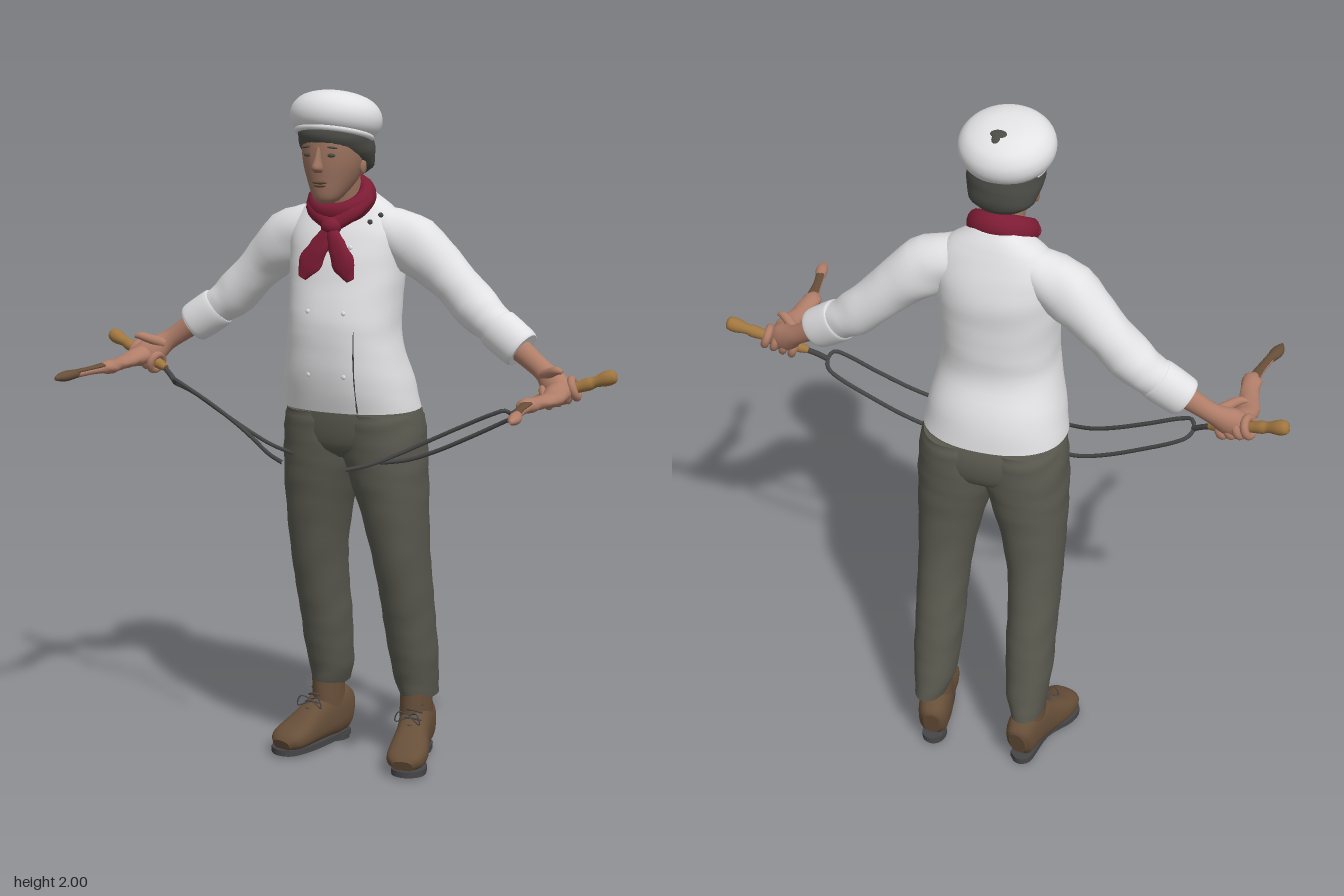
import * as THREE from 'three';

const mat = (name, color) => {
  const m = new THREE.MeshStandardMaterial({ color });
  m.name = name;
  return m;
};
const V = (x, y, z) => new THREE.Vector3(x, y, z);

// Smooth skin through rows of [x, y, z, halfWidth, halfDepth].
// flat: horizontal rings; otherwise rings square to the path, depth along ref.
function loft(rows, { flat = false, ref = V(0, 0, 1), seg = 28, steps = 4, p = 2, fold = 0 } = {}) {
  const path = new THREE.CatmullRomCurve3(rows.map(r => V(r[0], r[1], r[2])), false, 'catmullrom', 0.5);
  const size = new THREE.CatmullRomCurve3(rows.map(r => V(r[3], r[4] ?? r[3], 0)), false, 'catmullrom', 0.5);
  const n = (rows.length - 1) * steps, pos = [], idx = [];
  const rise = Math.sign(rows[rows.length - 1][1] - rows[0][1]);
  for (let i = 0; i <= n; i++) {
    const t = i / n, c = path.getPoint(t), s = size.getPoint(t);
    const T = flat ? V(0, rise, 0) : path.getTangent(t);
    const U = flat ? V(1, 0, 0) : ref.clone().cross(T).normalize();
    const W = T.clone().cross(U);
    for (let j = 0; j < seg; j++) {
      const a = j / seg * Math.PI * 2, co = Math.cos(a), si = Math.sin(a);
      const k = 1 + fold * Math.sin(i * 1.7 + 2 * Math.sin(a * 2 + i * 0.3));
      const u = Math.sign(co) * Math.abs(co) ** (2 / p) * s.x * k;
      const w = Math.sign(si) * Math.abs(si) ** (2 / p) * s.y * k;
      pos.push(...c.clone().addScaledVector(U, u).addScaledVector(W, w).toArray());
    }
  }
  for (let i = 0; i < n; i++) for (let j = 0; j < seg; j++) {
    const a = i * seg + j, b = i * seg + (j + 1) % seg;
    idx.push(a, b, b + seg, a, b + seg, a + seg);
  }
  // end caps with their own vertices
  for (const [row, end] of [[0, false], [n, true]]) {
    const base = pos.length / 3;
    pos.push(...path.getPoint(end ? 1 : 0).toArray());
    for (let j = 0; j < seg; j++) pos.push(...pos.slice((row * seg + j) * 3, (row * seg + j) * 3 + 3));
    for (let j = 0; j < seg; j++) {
      const a = base + 1 + j, b = base + 1 + (j + 1) % seg;
      end ? idx.push(base, a, b) : idx.push(base, b, a);
    }
  }
  const g = new THREE.BufferGeometry();
  g.setAttribute('position', new THREE.Float32BufferAttribute(pos, 3));
  g.setIndex(idx);
  g.computeVertexNormals();
  return g;
}

export function createModel() {
  const root = new THREE.Group();
  root.name = 'cook';
  const shirt = mat('white cotton', 0xe2e2e4), cloth = mat('grey trousers', 0x5a5a50), red = mat('red scarf', 0x7d1c34);
  const leather = mat('brown leather', 0x674f39), sole = mat('dark sole', 0x464648), metal = mat('dark metal', 0x454545);
  const wood = mat('wood', 0xa0763f), skin = mat('face skin', 0x9c735f), hand = mat('hand skin', 0xb07e69), hair = mat('dark hair', 0x4b4b46);

  const add = (name, geo, m, parent = root) => {
    const mesh = new THREE.Mesh(geo, m);
    mesh.name = name;
    parent.add(mesh);
    return mesh;
  };
  const ball = (name, m, [x, y, z], [a, b, c], parent) => {
    const mesh = add(name, new THREE.SphereGeometry(1, 20, 14), m, parent);
    mesh.position.set(x, y, z);
    mesh.scale.set(a, b, c);
    return mesh;
  };
  const tube = (name, pts, r, m, parent) => add(name,
    new THREE.TubeGeometry(new THREE.CatmullRomCurve3(pts.map(q => V(...q))), pts.length * 6, r, 8), m, parent);

  // Jacket body
  const torso = [[0, 1.09, -.125, .205, .15], [0, 1.18, -.105, .19, .155], [0, 1.28, -.08, .168, .14], [0, 1.36, -.08, .163, .14],
    [0, 1.45, -.09, .168, .13], [0, 1.53, -.1, .172, .122], [0, 1.6, -.105, .175, .1], [0, 1.655, -.11, .145, .075],
    [0, 1.69, -.11, .1, .06], [0, 1.715, -.11, .06, .045]];
  add('jacket', loft(torso, { flat: true, p: 2.25, seg: 48, fold: .004 }), shirt);
  const chestZ = (x, y) => {
    const i = Math.max(0, torso.findIndex(r => r[1] > y) - 1), lo = torso[i], hi = torso[i + 1];
    const [zc, a, b] = [2, 3, 4].map(k => THREE.MathUtils.lerp(lo[k], hi[k], (y - lo[1]) / (hi[1] - lo[1])));
    return zc + b * (1 - Math.abs(x / a) ** 2.25) ** (1 / 2.25);
  };
  tube('frontSeam', [1.095, 1.15, 1.2, 1.26, 1.33].map(y => [.088, y, chestZ(.088, y) - .001]), .0025, metal);
  for (const x of [-.05, .06]) for (const y of [1.2, 1.38, 1.56])
    ball('button', shirt, [x, y, chestZ(x, y)], [.007, .007, .004]);
  for (const [x, y] of [[.1, 1.63], [.122, 1.648]]) ball('collarStud', metal, [x, y, chestZ(x, y)], [.008, .008, .006]);

  // Neck, scarf and its knot
  add('neck', loft([[0, 1.6, -.09, .06], [0, 1.68, -.065, .056], [0, 1.76, -.045, .058]], { flat: true }), skin);
  const band = add('scarfBand', new THREE.TorusGeometry(.07, .024, 14, 36).rotateX(Math.PI / 2).scale(1.06, 1.45, 1.02), red);
  band.position.set(0, 1.69, -.06);
  band.rotation.x = .58;
  ball('scarfKnot', red, [.01, 1.62, .025], [.03, .026, .028]);
  for (const s of [-1, 1]) {
    add('scarfFold', loft([[s * .085, 1.695, -.06, .02, .02], [s * .06, 1.66, -.01, .024, .02], [.01, 1.62, .02, .02, .018]]), red);
    add('scarfTail', loft([[.01, 1.62, .03, .014, .014], [.01 + s * .025, 1.57, .042, .027, .014],
      [.01 + s * .055, 1.515, .052, .034, .011], [.01 + s * .076, 1.475, .056, .012, .005]], { fold: .06 }), red);
  }

  // Head
  const head = new THREE.Group();
  head.name = 'head';
  root.add(head);
  add('face', loft([[0, 1.685, .035, .02, .022], [0, 1.702, .025, .04, .047], [0, 1.75, -.005, .067, .084], [0, 1.8, -.015, .084, .099],
    [0, 1.86, -.02, .09, .103], [0, 1.92, -.025, .082, .095], [0, 1.96, -.025, .05, .06]], { flat: true, p: 2.1 }), skin, head);
  add('nose', loft([[0, 1.845, .074, .008, .01], [0, 1.81, .083, .01, .015], [0, 1.785, .088, .016, .021], [0, 1.772, .082, .01, .01]], { flat: true }), skin, head);
  ball('upperLip', leather, [0, 1.745, .077], [.023, .005, .007], head);
  ball('lowerLip', leather, [0, 1.736, .075], [.019, .005, .007], head);
  for (const s of [-1, 1]) {
    ball('eye', hair, [s * .035, 1.82, .075], [.014, .006, .006], head);
    ball('brow', hair, [s * .037, 1.842, .075], [.02, .003, .006], head).rotation.z = -s * .12;
    ball('ear', skin, [s * .082, 1.785, -.028], [.009, .022, .015], head);
  }
  add('hair', loft([[0, 1.762, -.08, .06, .04], [0, 1.785, -.072, .09, .062], [0, 1.83, -.037, .104, .1], [0, 1.87, -.02, .103, .11],
    [0, 1.9, -.02, .095, .102], [0, 1.93, -.02, .08, .085]], { flat: true, fold: .01 }), hair, head);

  // Soft cap, tipped back
  const profile = new THREE.SplineCurve([[.095, .004], [.11, .003], [.125, .02], [.131, .045], [.124, .072], [.1, .097], [.055, .113], [0, .117]]
    .map(q => new THREE.Vector2(...q)));
  const cap = add('cap', new THREE.LatheGeometry(profile.getPoints(36), 40), shirt, head);
  cap.position.set(0, 1.873, -.012);
  cap.rotation.x = -.26;
  cap.scale.z = .96;
  add('capBand', new THREE.TorusGeometry(.104, .009, 10, 40).rotateX(Math.PI / 2), shirt, cap);
  const tuft = new THREE.Group();
  tuft.name = 'hairTuft';
  tuft.position.set(.006, .1125, -.038);
  tuft.rotation.x = -.15;
  cap.add(tuft);
  ball('tuftBack', hair, [0, 0, 0], [.024, .006, .016], tuft);
  ball('tuftFront', hair, [.003, .001, -.016], [.012, .006, .016], tuft);

  // Trouser seat
  add('trouserSeat', loft([[0, .945, -.148, .12, .09], [0, .98, -.147, .205, .126], [0, 1.05, -.143, .21, .135], [0, 1.12, -.13, .19, .12]],
    { flat: true, p: 2.2, seg: 40 }), cloth);

  for (const s of [1, -1]) {
    const side = new THREE.Group();
    side.name = s > 0 ? 'leftLimbs' : 'rightLimbs';
    root.add(side);
    const m = rows => rows.map(([x, ...r]) => [s * x, ...r]);

    // Leg
    add('trouserLeg', loft(m([[.15, .19, -.285, .047, .082], [.143, .25, -.272, .06, .085], [.143, .33, -.252, .067, .09], [.14, .42, -.232, .07, .095],
      [.14, .52, -.207, .072, .1], [.135, .65, -.177, .078, .107], [.123, .78, -.16, .093, .117], [.108, .88, -.152, .109, .127],
      [.096, .96, -.148, .12, .132], [.093, 1.04, -.144, .117, .133], [.09, 1.08, -.14, .11, .128]]), { flat: true, fold: .012, seg: 32, p: 2.15 }), cloth, side);

    // Boot
    add('bootFoot', loft(m([[.135, .085, -.35, .025, .045], [.137, .09, -.33, .043, .068], [.147, .1, -.27, .05, .08], [.167, .08, -.2, .05, .062],
      [.187, .06, -.13, .059, .042], [.197, .05, -.08, .054, .031], [.202, .04, -.055, .032, .018]]), { ref: V(0, 1, 0), p: 2.5 }), leather, side);
    add('bootShaft', loft(m([[.145, .08, -.27, .046, .07], [.148, .15, -.262, .046, .065], [.15, .215, -.258, .045, .06]]), { flat: true }), leather, side);
    const outline = new THREE.SplineCurve([[.108, -.33], [.138, -.353], [.172, -.33], [.192, -.22], [.242, -.14], [.251, -.085], [.215, -.05],
      [.166, -.06], [.136, -.13], [.12, -.22], [.108, -.33]].map(([x, z]) => new THREE.Vector2(s * x, z)));
    add('sole', new THREE.ExtrudeGeometry(new THREE.Shape(outline.getPoints(50)), { depth: .018, bevelEnabled: false })
      .rotateX(Math.PI / 2), sole, side).position.y = .026;
    add('heel', new THREE.CylinderGeometry(.034, .034, .018, 20).scale(1, 1, 1.25), sole, side).position.set(s * .14, .009, -.305);
    for (let i = 0; i < 4; i++) {
      const y = .122 + i * .02, z = -.165 - i * .014, x = .17 - i * .004;
      tube('lace', m([[x - .03, y - .005, z - .02], [x, y + .006, z], [x + .03, y - .005, z - .02]]), .003, sole, side);
    }
    for (const d of [-1, 1])
      tube('laceBow', m([[.165, .155, -.18], [.165 + d * .03, .165, -.165], [.165 + d * .04, .135, -.165], [.165, .15, -.18]]), .002, sole, side);

    // Sleeve and turned cuff
    add('sleeve', loft(m([[.1, 1.615, -.11, .06, .065], [.2, 1.562, -.12, .083, .076], [.3, 1.478, -.135, .066, .066], [.39, 1.39, -.137, .064, .064],
      [.45, 1.345, -.132, .055, .054], [.51, 1.3, -.122, .05, .048]]), { fold: .025 }), shirt, side);
    add('cuff', loft(m([[.445, 1.348, -.133, .056, .052], [.46, 1.337, -.13, .062, .056], [.52, 1.297, -.122, .06, .052], [.533, 1.288, -.12, .054, .048]])), shirt, side);

    // Forearm, palm, thumb and fingers closed round the handle
    add('forearm', loft(m([[.5, 1.31, -.118, .036, .034], [.57, 1.262, -.107, .03, .026], [.61, 1.235, -.097, .03, .027], [.65, 1.205, -.075, .042, .034],
      [.69, 1.185, -.055, .03, .03], [.7, 1.18, -.05, .012, .015]])), hand, side);
    add('thumb', loft(m([[.61, 1.23, -.08, .016], [.64, 1.243, -.055, .014], [.665, 1.253, -.04, .012], [.685, 1.252, -.035, .005]])), hand, side);
    const top = V(s * .815, 1.243, -.106), end = V(s * .59, 1.16, -.055);
    const dir = end.clone().sub(top).normalize();
    for (let i = 0; i < 4; i++) {
      const f = add('finger', new THREE.TorusGeometry(.025, .012, 10, 20), hand, side);
      f.position.lerpVectors(top, end, .5 + i * .11);
      f.quaternion.setFromUnitVectors(V(0, 0, 1), dir);
    }
    const ref = V(0, 1, 0);
    add('longFinger', loft(m([[.668, 1.195, -.06, .036, .03], [.678, 1.186, .02, .033, .02], [.667, 1.186, .09, .026, .017],
      [.66, 1.188, .15, .028, .02], [.666, 1.188, .175, .014, .013]]), { ref, fold: .05 }), hand, side);
    const middle = [[.664, 1.186, .16, .016, .014], [.673, 1.186, .22, .012, .011], [.686, 1.184, .28, .012, .011]];
    add('longFingerMiddle', loft(m(middle), { ref }), hand, side);
    add('longFingerBack', loft(m(middle.map(([x, y, z, a, b]) => [x, y + b - .003, z, a, .006])), { ref }), leather, side);
    add('longFingerTip', loft(m([[.684, 1.186, .27, .012, .012], [.694, 1.184, .31, .018, .015], [.699, 1.183, .335, .014, .012],
      [.701, 1.182, .358, .004, .005]]), { ref }), s > 0 ? hand : leather, side);

    // Two-pronged tool
    add('toolHandle', loft([[0, .006], [.03, .018], [.12, .021], [.25, .015], [.33, .018], [.5, .015], [.85, .016], [1, .01]]
      .map(([t, r]) => [...top.clone().lerp(end, t).toArray(), r])), wood, side);
    tube('toolRod', m([[.6, 1.164, -.058], [.565, 1.142, -.042], [.54, 1.122, -.03]]), .008, metal, side);
    tube('toolProngs', m([[.14, .948, -.028], [.22, .962, -.045], [.3, .992, -.055], [.4, 1.04, -.062], [.5, 1.092, -.065], [.53, 1.108, -.055], [.542, 1.122, -.03],
      [.53, 1.137, -.008], [.5, 1.127, 0], [.4, 1.08, .008], [.3, 1.03, .025], [.23, .995, .048], [.16, .965, .083], [.1, .95, .11]]), .006, metal, side);
  }
  return root;
}
